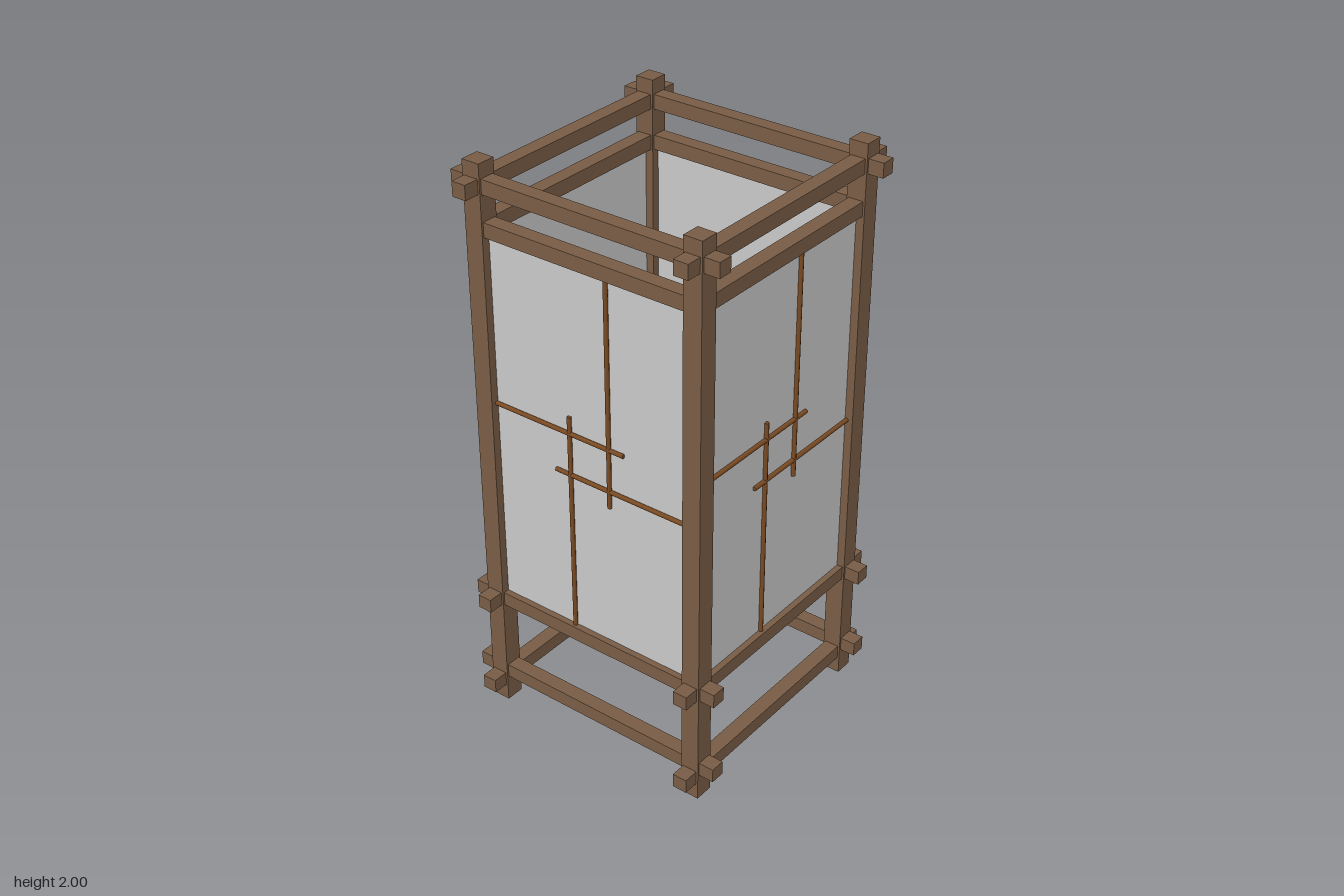
import * as THREE from 'three';

export function createModel() {
  const wood = new THREE.MeshStandardMaterial({ name: 'wood', color: 0x785c45 });
  const paper = new THREE.MeshStandardMaterial({ name: 'paper', color: 0xc8c8c8 });
  const strip = new THREE.MeshStandardMaterial({ name: 'stripWood', color: 0x7a4a22 });

  const model = new THREE.Group();
  model.name = 'lantern';

  const OFF = 0.408;    // post and beam centre line
  const POST = 0.066;   // post thickness
  const BEAM = 0.052;   // beam thickness
  const INNER = OFF - POST / 2;

  function box(parent, name, mat, w, h, d, x, y, z) {
    const mesh = new THREE.Mesh(new THREE.BoxGeometry(w, h, d), mat);
    mesh.name = name;
    mesh.position.set(x, y, z);
    parent.add(mesh);
  }

  // Thin round lattice strip between two points on the face of a panel
  function lattice(parent, name, x0, y0, x1, y1, z) {
    const length = Math.hypot(x1 - x0, y1 - y0);
    const mesh = new THREE.Mesh(new THREE.CylinderGeometry(0.0075, 0.0075, length, 8), strip);
    mesh.name = name;
    mesh.position.set((x0 + x1) / 2, (y0 + y1) / 2, z);
    if (y0 === y1) mesh.rotation.z = Math.PI / 2;
    parent.add(mesh);
  }

  // Four identical sides turned about the vertical axis
  for (let i = 0; i < 4; i++) {
    const side = new THREE.Group();
    side.name = ['frontSide', 'leftSide', 'backSide', 'rightSide'][i];
    side.rotation.y = i * Math.PI / 2;
    model.add(side);

    box(side, 'cornerPost', wood, POST, 2, POST, OFF, 1, OFF);

    // Crossing beams; the lowest pair is staggered in height
    const lowY = i % 2 === 0 ? 0.085 : 0.12;
    box(side, 'topBeam', wood, 0.99, 0.05, BEAM, 0, 1.925, OFF);
    box(side, 'lowerBeam', wood, 0.99, 0.05, BEAM, 0, 0.425, OFF);
    box(side, 'footBeam', wood, 0.99, 0.05, BEAM, 0, lowY, OFF);

    // Panel with the rail above it
    box(side, 'panelRail', wood, INNER * 2, 0.05, BEAM, 0, 1.785, OFF);
    box(side, 'paperPanel', paper, INNER * 2, 1.31, 0.009, 0, 1.105, OFF);

    // Offset lattice on the outer face
    const z = OFF + 0.01;
    lattice(side, 'upperVerticalStrip', 0.077, 0.97, 0.077, 1.76, z);
    lattice(side, 'lowerVerticalStrip', -0.077, 0.45, -0.077, 1.24, z);
    lattice(side, 'upperCrossStrip', -INNER, 1.18, 0.135, 1.18, z);
    lattice(side, 'lowerCrossStrip', -0.135, 1.03, INNER, 1.03, z);
  }

  return model;
}
